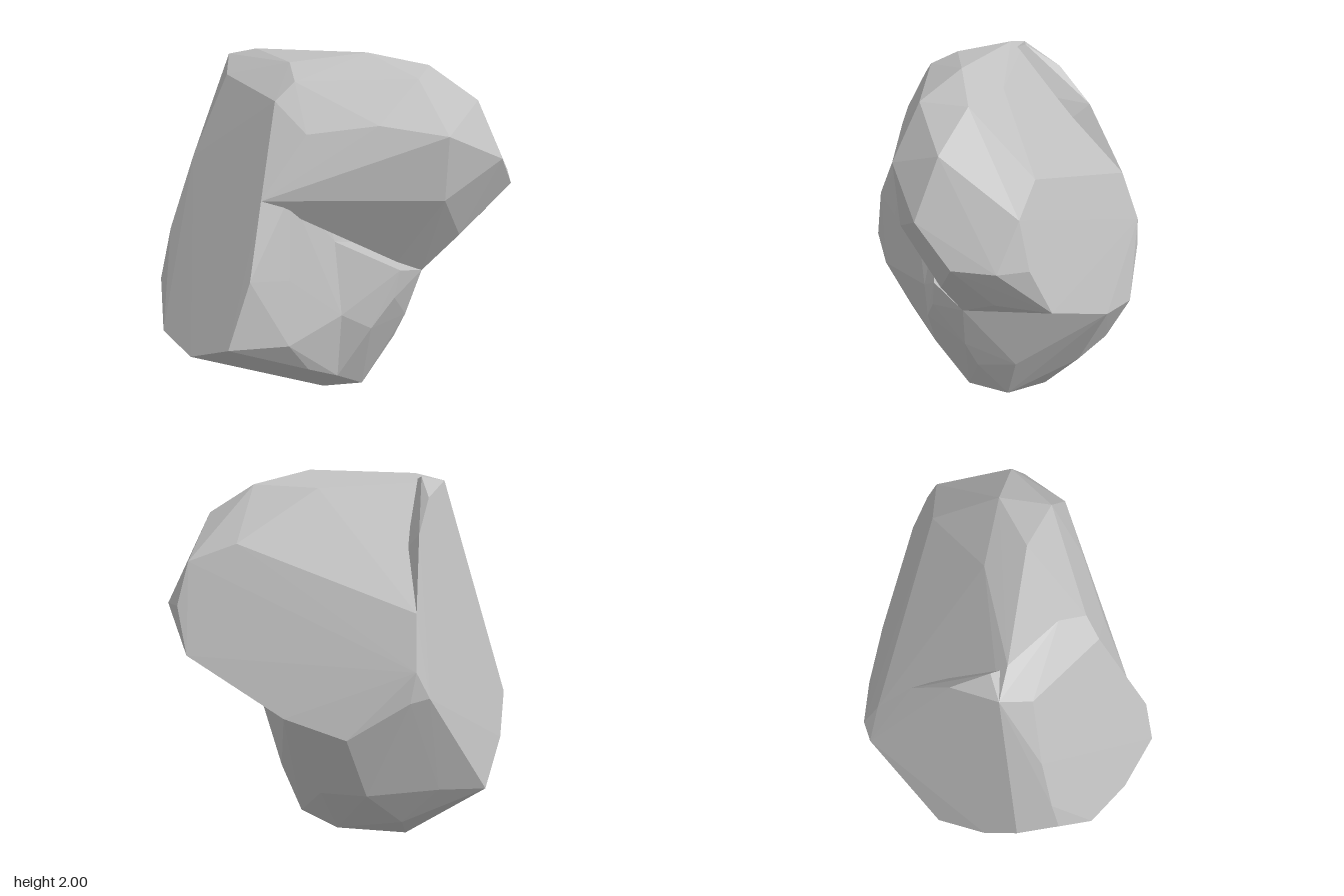
import * as THREE from 'three';
import { ConvexGeometry } from 'three/addons/geometries/ConvexGeometry.js';

// A faceted boulder: an upright slab, a foot and an overhanging upper block
// that meet in shallow hollows and share large flat cleaved faces.
export function createModel() {
  const group = new THREE.Group();
  group.name = 'rock';

  const stone = new THREE.MeshStandardMaterial({ color: 0xc0c0c0 });
  stone.name = 'grey stone';
  stone.flatShading = true;

  function block(name, corners) {
    const points = corners.map((c) => new THREE.Vector3(...c));
    const mesh = new THREE.Mesh(new ConvexGeometry(points), stone);
    mesh.name = name;
    group.add(mesh);
  }

  // corners where the slab meets the upper block
  const slabTop = [
    [-0.35, 1.83, 0.41], [-0.53, 1.87, 0.01], [-0.5, 1.94, -0.14],
    [-0.45, 1.4, 0.57], [-0.3, 1.41, 0.52],
    [-0.12, 1.3, -0.64], [-0.15, 0.9, -0.74],
  ];
  // corners where the foot meets the upper block
  const footTop = [
    [-0.05, 0.88, -0.735], [0.24, 0.7, -0.64], [0.5, 0.79, -0.46],
    [0.44, 0.82, 0.28],
  ];
  // hollow and base where the slab meets the foot
  const seam = [
    [-0.06, 1.08, 0.39], [-0.04, 0.7, 0.47], [-0.05, 0.31, 0.42],
    [-0.05, 0, 0.03], [-0.27, 0.02, -0.2], [-0.15, 0.17, -0.42],
    [-0.3, 0.37, -0.55],
  ];

  block('slab', [
    ...slabTop, ...seam,
    // side cleavage and its edges
    [-0.94, 0.6, 0.26], [-0.82, 0.58, 0.52], [-0.65, 0.72, 0.74],
    [-0.53, 1.05, 0.7], [-0.93, 0.8, 0.05], [-0.86, 1.07, 0.02],
    [-0.72, 1.45, 0],
    // front ridge
    [-0.35, 0.68, 0.69], [-0.33, 1.0, 0.62], [-0.23, 0.45, 0.55],
    // back cleavage
    [-0.88, 0.77, -0.17], [-0.78, 0.55, -0.32], [-0.58, 0.34, -0.53],
    [-0.37, 1.96, -0.13], [-0.33, 1.85, -0.31], [-0.21, 1.67, -0.46],
    // underside
    [-0.6, 0.18, -0.1], [-0.78, 0.37, -0.15],
  ]);

  block('foot', [
    ...footTop, ...seam,
    [-0.15, 0.9, -0.74],
    // front
    [0.28, 0.9, 0.42], [0.25, 0.75, 0.43], [0.12, 0.6, 0.46],
    [0.13, 0.13, 0.24],
    // side
    [0.36, 0.56, 0.27], [0.32, 0.39, 0.2], [0.41, 0.66, 0],
    [0.38, 0.42, 0], [0.26, 0.14, 0.03], [0.42, 0.87, 0.04],
    [0.43, 0.78, -0.28],
    // back and underside
    [0.33, 0.58, -0.44], [0.28, 0.36, -0.36], [0.13, 0.1, -0.2],
    [0.1, 0.38, -0.55],
  ]);

  block('upperBlock', [
    ...slabTop, ...footTop,
    // crown
    [0.13, 2, 0.24], [-0.25, 1.97, 0.24], [-0.37, 1.98, -0.05],
    [0.45, 1.92, 0.23], [0.33, 1.91, 0.45], [-0.25, 1.91, 0.38],
    [0.66, 1.77, 0.38], [0.15, 1.9, 0.04],
    // brow
    [-0.22, 1.69, 0.51], [0.12, 1.72, 0.54], [0.45, 1.66, 0.59],
    [-0.06, 1.46, 0.55], [0.45, 1.33, 0.57],
    // overhanging nose
    [0.76, 1.5, 0.5], [0.88, 1.31, 0.35], [0.94, 1.31, 0.15],
    [0.85, 1.53, 0.04], [0.92, 1.31, 0], [0.9, 1.07, -0.11],
    [0.82, 1.08, 0.15], [0.6, 1.06, 0.39], [0.28, 0.92, 0.36],
    // rear cleavage
    [0.62, 1.62, -0.06], [0.28, 1.45, -0.33], [0.73, 1.02, -0.23],
    [-0.08, 1.03, -0.735],
  ]);

  return group;
}
